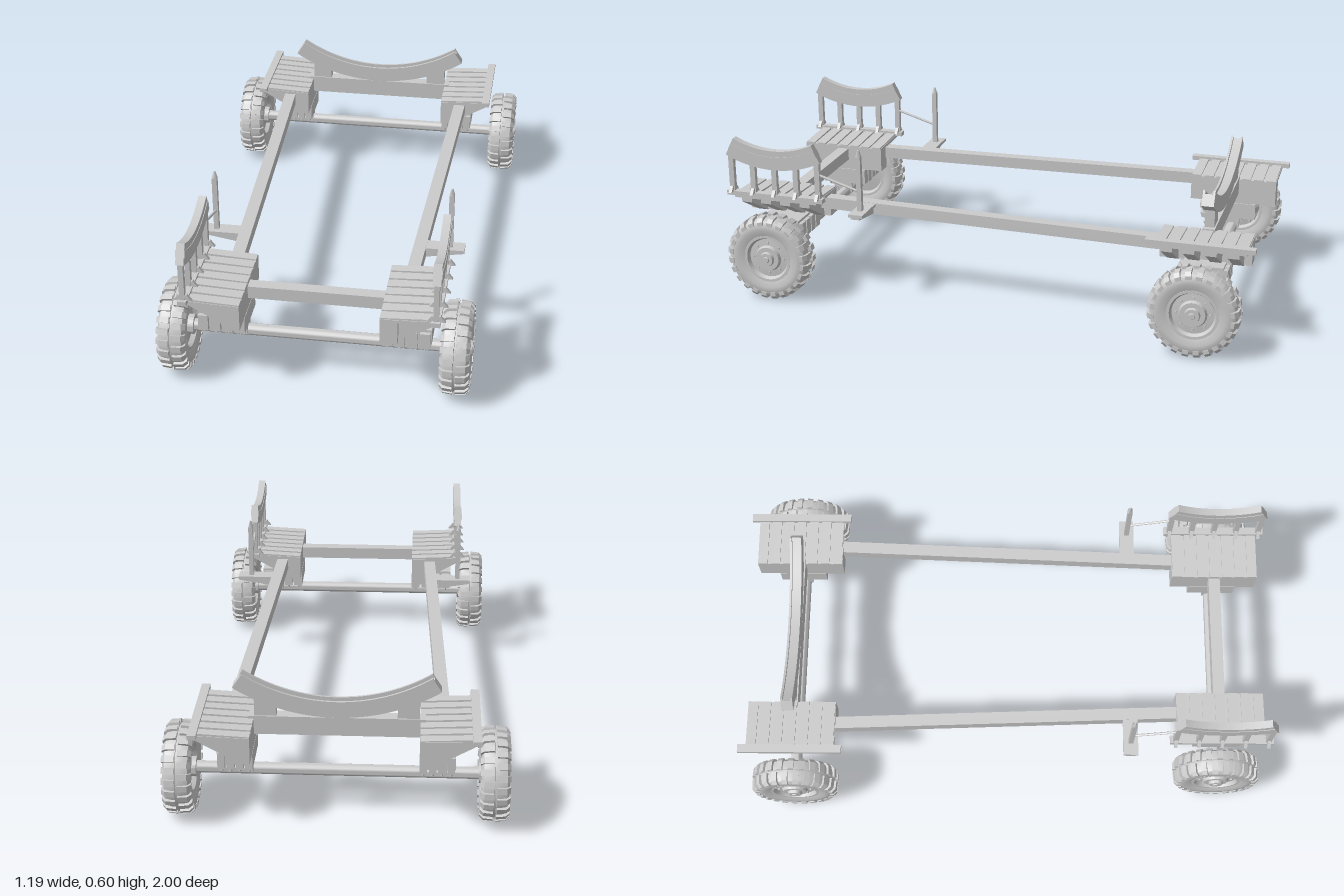
import * as THREE from 'three';
import { toCreasedNormals } from 'three/addons/utils/BufferGeometryUtils.js';

const mat = new THREE.MeshStandardMaterial({ color: 0xcccccc });

function add(parent, name, geo, x = 0, y = 0, z = 0) {
  const m = new THREE.Mesh(geo, mat);
  m.name = name;
  m.position.set(x, y, z);
  parent.add(m);
  return m;
}

// Box given by its limits on each axis
function box(parent, name, x0, x1, y0, y1, z0, z1) {
  return add(parent, name, new THREE.BoxGeometry(x1 - x0, y1 - y0, z1 - z0),
    (x0 + x1) / 2, (y0 + y1) / 2, (z0 + z1) / 2);
}

// Outline in x and y, extruded along z about a centre
function slab(parent, name, pts, zc, depth) {
  const s = new THREE.Shape(pts.map(p => new THREE.Vector2(p[0], p[1])));
  return add(parent, name, new THREE.ExtrudeGeometry(s, { depth, bevelEnabled: false }), 0, 0, zc - depth / 2);
}

function rod(parent, name, a, b, r, sides = 8) {
  const p = new THREE.Vector3(...a), q = new THREE.Vector3(...b);
  const m = add(parent, name, toCreasedNormals(new THREE.CylinderGeometry(r, r, p.distanceTo(q), sides), 0.9));
  m.position.copy(p).add(q).multiplyScalar(0.5);
  m.quaternion.setFromUnitVectors(new THREE.Vector3(0, 1, 0), q.sub(p).normalize());
  return m;
}

// Band of a ring that opens upwards, centred on its axis
function arcBand(r0, r1, half, depth) {
  const s = new THREE.Shape();
  const mid = -Math.PI / 2;
  s.absarc(0, 0, r1, mid - half, mid + half, false);
  s.absarc(0, 0, r0, mid + half, mid - half, true);
  const g = new THREE.ExtrudeGeometry(s, { depth, bevelEnabled: false, curveSegments: 24 });
  g.translate(0, 0, -depth / 2);
  return toCreasedNormals(g, 0.5);
}

function lathe(pts) {
  const g = new THREE.LatheGeometry(pts.map(p => new THREE.Vector2(p[0], p[1])), 48);
  g.rotateZ(-Math.PI / 2);
  return toCreasedNormals(g, 0.6);
}

// Wheel on the x axis, outer side towards +x
function wheel(x, z) {
  const w = new THREE.Group();
  w.name = 'wheel';
  w.position.set(x, 0.164, z);
  add(w, 'tyre', lathe([[0.085, -0.03], [0.09, -0.04], [0.115, -0.048], [0.138, -0.047], [0.15, -0.039],
    [0.155, -0.02], [0.155, -0.004], [0.151, -0.003], [0.151, 0.003], [0.155, 0.004], [0.155, 0.02],
    [0.15, 0.039], [0.138, 0.047], [0.115, 0.048], [0.09, 0.04], [0.085, 0.03]]));
  add(w, 'rim', lathe([[0, -0.052], [0.035, -0.052], [0.035, -0.03], [0.075, -0.025], [0.082, -0.042],
    [0.092, -0.042], [0.092, 0.042], [0.082, 0.042], [0.075, 0.028], [0.05, 0.03], [0.045, 0.042],
    [0.028, 0.042], [0.025, 0.053], [0.012, 0.053], [0.01, 0.057], [0, 0.057]]));
  // Staggered tread blocks wrapping over both shoulders
  const n = 24;
  for (const side of [-1, 1]) for (let i = 0; i < n; i++) {
    const lug = new THREE.Group();
    lug.name = 'treadBlock';
    lug.rotation.x = (i + (side > 0 ? 0.5 : 0)) / n * Math.PI * 2;
    const a = side * 0.005, b = side * 0.038, c = side * 0.051;
    const pts = [[a, 0.15], [a, 0.164], [b, 0.161], [c, 0.148], [c, 0.134], [side * 0.042, 0.134]];
    slab(lug, 'block', pts, 0, 0.021);
    w.add(lug);
  }
  const bolts = 8;
  for (let i = 0; i < bolts; i++) {
    const a = i / bolts * Math.PI * 2, y = Math.cos(a) * 0.06, zz = Math.sin(a) * 0.06;
    rod(w, 'wheelNut', [0.025, y, zz], [0.035, y, zz], 0.005, 6);
  }
  return w;
}

// Cantilever platform with ribs, planks and axle mount
function platform(x0, x1, z) {
  const p = new THREE.Group();
  p.name = 'platform';
  const h = 0.165;
  box(p, 'innerBlock', x0, x0 + 0.06, 0.27, 0.362, z - h, z + h);
  slab(p, 'deck', [[x0, 0.353], [x1, 0.36], [x1, 0.372], [x0, 0.365]], z, 2 * h);
  for (let i = 0; i < 4; i++) {
    const rz = z + (i - 1.5) * 0.078;
    slab(p, 'rib', [[x0 + 0.03, 0.268], [x0 + 0.06, 0.268], [x1, 0.345], [x1, 0.362], [x0 + 0.03, 0.36]], rz, 0.04);
  }
  for (let i = 0; i < 7; i++) {
    slab(p, 'plank', [[x0, 0.363], [x1, 0.37], [x1, 0.38], [x0, 0.37]], z + (i - 3) * 0.0483, 0.036);
  }
  box(p, 'edgeBar', x1 - 0.022, x1 + 0.008, 0.37, 0.387, z - 0.193, z + 0.193);

  // Axle mount: row of blocks and clamp bolts
  const m0 = x0, m1 = 0.408, step = (m1 - m0) / 4;
  box(p, 'mountCore', m0 + 0.004, m1 - 0.004, 0.213, 0.275, z - 0.075, z + 0.075);
  for (let i = 0; i < 4; i++) {
    const bx = m0 + i * step;
    box(p, 'mountBlock', bx, bx + step * 0.8, 0.205, 0.266, z - 0.09, z + 0.09);
    for (const s of [-1, 1]) {
      const cx = bx + step * 0.4;
      rod(p, 'clampBolt', [cx, 0.19, z + s * 0.07], [cx, 0.21, z + s * 0.07], 0.005, 6);
    }
  }
  for (const cx of [m0 + 0.01, m0 + 0.09]) {
    box(p, 'axleClamp', cx - 0.004, cx + 0.004, 0.16, 0.21, z - 0.028, z + 0.028);
  }
  return p;
}

// Upright cradle along z on the front platform
function cradle(x, z) {
  const c = new THREE.Group();
  c.name = 'frontCradle';
  const cy = 0.915;
  [[0.356, 0.379, 0.028], [0.379, 0.405, 0.032], [0.405, 0.43, 0.028]].forEach(([r0, r1, d]) => {
    const m = add(c, 'curvedPad', arcBand(r0, r1, 0.455, d), x, cy, z);
    m.rotation.y = Math.PI / 2;
  });
  for (let i = -2; i <= 2; i++) {
    const dz = i * 0.0865;
    const top = cy - Math.sqrt(0.42 ** 2 - dz ** 2);
    box(c, 'post', x - 0.009, x + 0.009, 0.38, top, z + dz - 0.01, z + dz + 0.01);
    slab(c, 'postFoot', [[x - 0.032, 0.383], [x + 0.032, 0.383], [x + 0.015, 0.405], [x - 0.015, 0.405]], z + dz, 0.012);
  }
  return c;
}

// Marker post on a bracket beside the rail
function sidePost(x, z) {
  const g = new THREE.Group();
  g.name = 'sidePost';
  box(g, 'bracketPlate', 0.3, 0.477, 0.345, 0.356, z - 0.028, z + 0.028);
  slab(g, 'bracketGusset', [[0.31, 0.315], [0.34, 0.315], [0.477, 0.338], [0.477, 0.347], [0.31, 0.347]], z, 0.036);
  box(g, 'post', x - 0.009, x + 0.009, 0.35, 0.565, z - 0.009, z + 0.009);
  const tip = add(g, 'postTip', new THREE.CylinderGeometry(0.004, 0.0127, 0.026, 4), x, 0.578, z);
  tip.rotation.y = Math.PI / 4;
  rod(g, 'brace', [x, 0.43, z], [x, 0.482, 0.635], 0.005);
  return g;
}

export function createModel() {
  const model = new THREE.Group();
  model.name = 'transportTrolley';
  const zf = 0.803, zb = -0.81;

  // Both sides, built on +x and mirrored
  for (const s of [1, -1]) {
    const side = new THREE.Group();
    side.name = s > 0 ? 'leftSide' : 'rightSide';
    side.scale.x = s;
    side.add(wheel(0.487, zf), wheel(0.537, zb));
    side.add(platform(0.237, 0.432, zf), platform(0.282, 0.477, zb));
    side.add(cradle(0.425, zf), sidePost(0.425, 0.465));
    // Slanted long rail
    const rail = new THREE.Shape([[0.288, -0.66], [0.333, -0.66], [0.383, 0.67], [0.338, 0.67]]
      .map(p => new THREE.Vector2(...p)));
    const rg = new THREE.ExtrudeGeometry(rail, { depth: 0.044, bevelEnabled: false });
    rg.rotateX(-Math.PI / 2);
    add(side, 'rail', rg, 0, 0.313, 0);
    // Saddle support
    slab(side, 'saddleSupport', [[0.205, 0.36], [0.28, 0.36], [0.28, 0.46], [0.205, 0.425]], zb, 0.034);
    model.add(side);
  }

  // Axles and cross beams
  rod(model, 'frontAxle', [-0.46, 0.164, zf], [0.46, 0.164, zf], 0.021, 20);
  rod(model, 'backAxle', [-0.51, 0.164, zb], [0.51, 0.164, zb], 0.021, 20);
  box(model, 'frontCrossBeam', -0.25, 0.25, 0.308, 0.355, zf - 0.022, zf + 0.022);
  box(model, 'backCrossBeam', -0.3, 0.3, 0.308, 0.376, zb - 0.022, zb + 0.022);

  // Curved back saddle with raised side flanges
  add(model, 'saddle', arcBand(0.6, 0.645, 0.577, 0.034), 0, 1.021, zb);
  for (const s of [-1, 1]) {
    add(model, 'saddleFlange', arcBand(0.586, 0.645, 0.577, 0.008), 0, 1.021, zb + s * 0.018);
  }
  return model;
}
